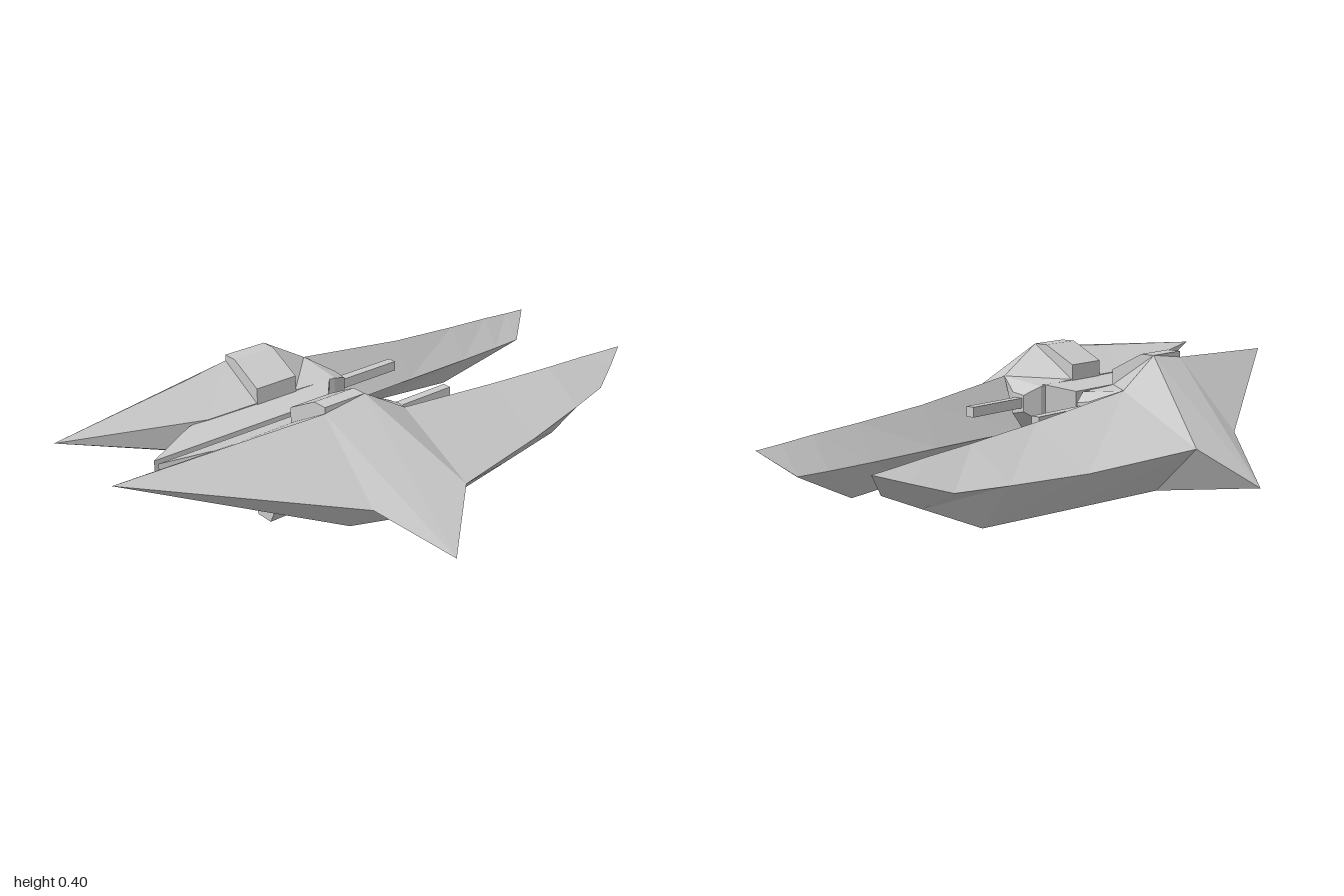
import * as THREE from 'three';
import { ConvexGeometry } from 'three/addons/geometries/ConvexGeometry.js';

const material = new THREE.MeshStandardMaterial({ color: 0xcccccc, flatShading: true });

// Skins cross-sections [x, [[z, y], ...]] listed in order of x; side is +1 or -1 (mirrored in z)
function loft(sections, side) {
  const pos = [];
  const tri = (a, b, c) => {
    for (const p of side > 0 ? [a, b, c] : [a, c, b]) pos.push(p[0], p[1], p[2]);
  };
  const rings = sections.map(([x, pts]) => pts.map(([z, y]) => [x, y, z * side]));
  const n = rings[0].length;
  for (let i = 0; i < rings.length - 1; i++) {
    for (let j = 0; j < n; j++) {
      const k = (j + 1) % n, a = rings[i], b = rings[i + 1];
      tri(a[j], b[j], a[k]);
      tri(a[k], b[j], b[k]);
    }
  }
  const first = rings[0], last = rings[rings.length - 1];
  for (let j = 1; j < n - 1; j++) {
    tri(first[0], first[j], first[j + 1]);
    tri(last[0], last[j + 1], last[j]);
  }
  const g = new THREE.BufferGeometry();
  g.setAttribute('position', new THREE.Float32BufferAttribute(pos, 3));
  g.computeVertexNormals();
  return g;
}

// Constant cross-section between two x positions
const prism = (x0, x1, pts, side) => loft([[x0, pts], [x1, pts]], side);

const rearTip = [0.16, 0.335];
const frontTip = [0.235, 0.21];

// Each section: ridge, inner edge, keel, outer edge
const hullSections = [
  [-1, [rearTip, rearTip, rearTip, rearTip]],
  [-0.35, [[0.25, 0.375], [0.165, 0.125], [0.36, 0.05], [0.465, 0.15]]],
  [-0.2, [[0.25, 0.395], [0.165, 0.125], [0.38, 0.025], [0.655, 0.02]]],
  [-0.04, [[0.25, 0.3], [0.165, 0.125], [0.38, 0], [0.525, 0.15]]],
  [0.36, [[0.235, 0.255], [0.17, 0.125], [0.315, 0], [0.43, 0.13]]],
  [0.63, [[0.235, 0.235], [0.17, 0.125], [0.27, 0], [0.37, 0.135]]],
  [0.8, [[0.235, 0.225], [0.17, 0.127], [0.21, 0.078], [0.33, 0.14]]],
  [0.91, [[0.235, 0.216], [0.17, 0.13], [0.171, 0.129], [0.28, 0.178]]],
  [1, [frontTip, frontTip, frontTip, frontTip]],
];

// Each section: ridge, upper inner corner, lower inner corner, bottom corner
const bodySections = [
  [-1, [rearTip, rearTip, rearTip, rearTip]],
  [-0.53, [[0.225, 0.362], [0.09, 0.285], [0.09, 0.175], [0.165, 0.145]]],
  [-0.35, [[0.25, 0.375], [0.088, 0.285], [0.088, 0.165], [0.165, 0.125]]],
  [-0.2, [[0.25, 0.395], [0.088, 0.285], [0.088, 0.165], [0.165, 0.125]]],
  [-0.04, [[0.25, 0.3], [0.088, 0.28], [0.088, 0.165], [0.165, 0.125]]],
  [0.02, [[0.158, 0.262], [0.112, 0.255], [0.112, 0.2], [0.16, 0.19]]],
];

function buildHalf(side) {
  const half = new THREE.Group();
  half.name = side > 0 ? 'leftHalf' : 'rightHalf';
  const add = (name, geometry) => {
    const mesh = new THREE.Mesh(geometry, material);
    mesh.name = name;
    half.add(mesh);
  };

  add('wingHull', loft(hullSections, side));
  add('innerBody', loft(bodySections, side));

  // Raised block on the inner slope
  add('topHatch', prism(-0.35, -0.2,
    [[0.25, 0.395], [0.2, 0.395], [0.085, 0.335], [0.085, 0.27], [0.25, 0.29]], side));

  // Long tapered pod facing the other half
  const pod = [];
  for (const [x, z, y0, y1] of [
    [-0.77, 0.012, 0.18, 0.26], [-0.13, 0.012, 0.18, 0.26],
    [-0.6, 0.09, 0.167, 0.283], [-0.06, 0.09, 0.167, 0.283],
    [-0.5, 0.12, 0.17, 0.28], [-0.06, 0.12, 0.17, 0.28],
  ]) {
    pod.push(new THREE.Vector3(x, y0, z * side), new THREE.Vector3(x, y1, z * side));
  }
  add('innerPod', new ConvexGeometry(pod));

  // Blocks hanging under the body
  add('frontLowerBlock', prism(-0.2, -0.06,
    [[0.11, 0.175], [0.042, 0.077], [0.113, 0.037], [0.165, 0.125]], side));
  add('rearLowerBlock', prism(-0.5, -0.35,
    [[0.14, 0.16], [0.088, 0.1], [0.113, 0.037], [0.173, 0.037], [0.205, 0.1], [0.19, 0.16]], side));

  // Gun
  add('gunBarrel', prism(0, 0.25,
    [[0.15, 0.245], [0.12, 0.245], [0.12, 0.212], [0.15, 0.212]], side));
  return half;
}

export function createModel() {
  const model = new THREE.Group();
  model.name = 'twinHullCraft';
  for (const side of [1, -1]) model.add(buildHalf(side));
  return model;
}
